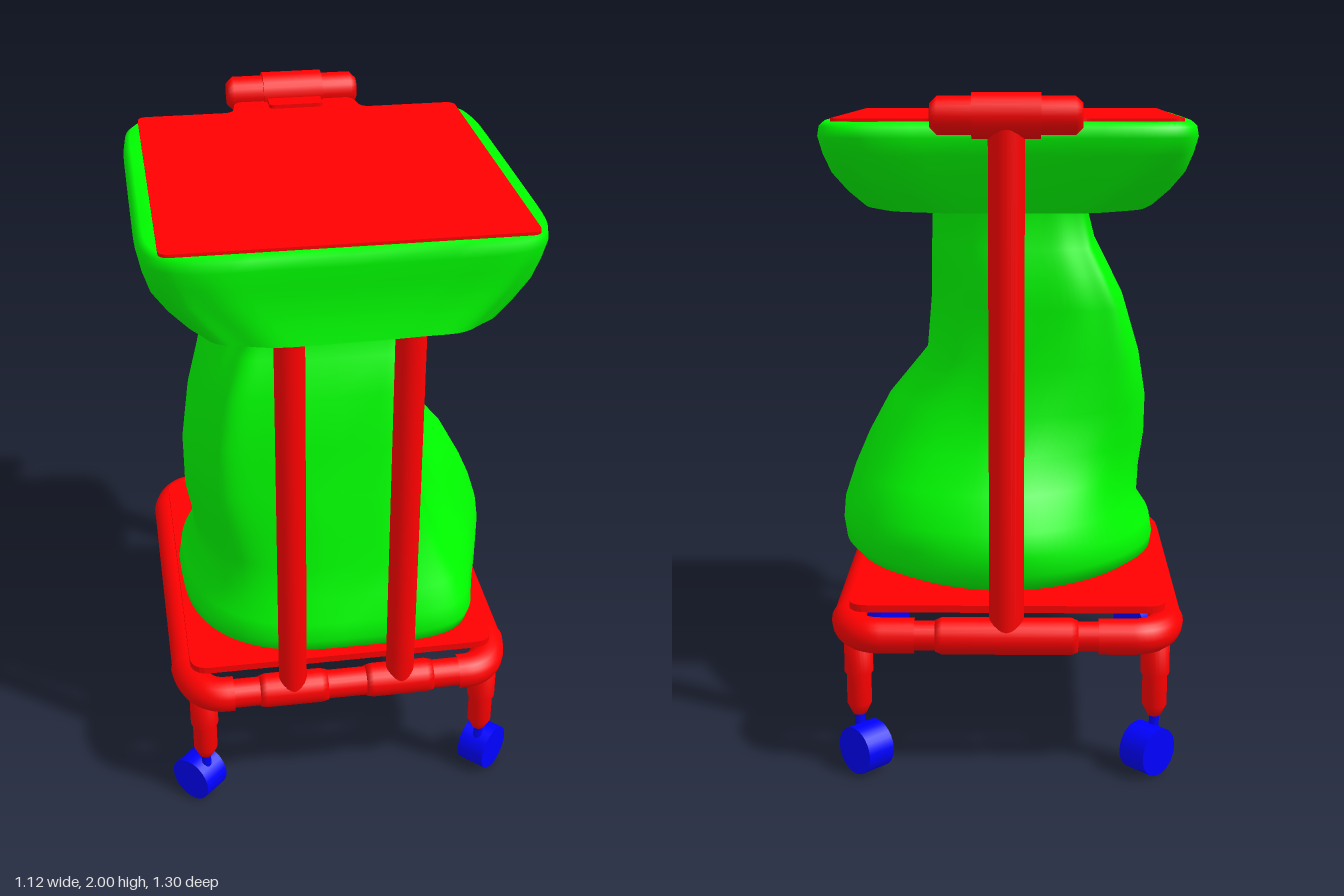
import * as THREE from 'three';

const mat = (color, side = THREE.FrontSide) => new THREE.MeshStandardMaterial({ color, side });
const V = (x, y, z) => new THREE.Vector3(x, y, z);
const { lerp, smoothstep } = THREE.MathUtils;

export function createModel() {
  const model = new THREE.Group();
  const red = mat(0xff0000), blue = mat(0x0000ff), green = mat(0x00ff00, THREE.DoubleSide);

  const add = (name, geo, material, parent = model) => {
    const mesh = new THREE.Mesh(geo, material);
    mesh.name = name;
    parent.add(mesh);
    return mesh;
  };

  // Straight round bar between two points
  const bar = (name, a, b, r) => {
    const mesh = add(name, new THREE.CylinderGeometry(r, r, a.distanceTo(b), 24), red);
    mesh.position.copy(a).add(b).multiplyScalar(0.5);
    mesh.quaternion.setFromUnitVectors(V(0, 1, 0), b.clone().sub(a).normalize());
  };

  // Sleeve along x with tapered ends
  const sleeve = (name, x, y, z, half, r, rEnd) => {
    const pts = [[0, -half], [rEnd, -half], [r, -half + 0.02], [r, half - 0.02], [rEnd, half], [0, half]];
    const mesh = add(name, new THREE.LatheGeometry(pts.map(p => new THREE.Vector2(...p)), 24), red);
    mesh.rotation.z = Math.PI / 2;
    mesh.position.set(x, y, z);
  };

  // Flat plate with rounded corners, from a list of x/z corners
  const plate = (name, corners, y, thick, r) => {
    const shape = new THREE.Shape();
    const pts = corners.map(([x, z]) => new THREE.Vector2(x, -z));
    pts.forEach((p, i) => {
      const a = pts.at(i - 1).clone().sub(p).setLength(r).add(p);
      const b = pts[(i + 1) % pts.length].clone().sub(p).setLength(r).add(p);
      if (i) shape.lineTo(a.x, a.y); else shape.moveTo(a.x, a.y);
      shape.quadraticCurveTo(p.x, p.y, b.x, b.y);
    });
    const geo = new THREE.ExtrudeGeometry(shape, { depth: thick, bevelEnabled: false, curveSegments: 6 });
    add(name, geo.rotateX(-Math.PI / 2), red).position.y = y;
  };

  // Smooth closed-ring surface through rows, bottom to top
  const loft = (rows, point, sides = 120) => {
    const pos = [], idx = [];
    rows.forEach((row, i) => {
      for (let j = 0; j < sides; j++) pos.push(...point(row, (j / sides) * Math.PI * 2));
      if (!i) return;
      for (let j = 0; j < sides; j++) {
        const k = (j + 1) % sides, a = (i - 1) * sides, b = i * sides;
        idx.push(a + j, b + j, a + k, a + k, b + j, b + k);
      }
    });
    const geo = new THREE.BufferGeometry();
    geo.setAttribute('position', new THREE.Float32BufferAttribute(pos, 3));
    geo.setIndex(idx);
    geo.computeVertexNormals();
    return geo;
  };
  const power = (v, n) => Math.sign(v) * Math.pow(Math.abs(v), 2 / n);

  // Base frame: side, front and back bars with corner elbows
  const fy = 0.43, fx = 0.48, fz = 0.583;
  for (const s of [1, -1]) {
    bar('sideRail', V(s * fx, fy, -0.46), V(s * fx, fy, 0.46), 0.049);
    bar(s > 0 ? 'frontRail' : 'backRail', V(-0.37, fy, s * fz), V(0.37, fy, s * fz), 0.044);
    for (const t of [1, -1]) {
      const start = t > 0 ? 0.35 : 0.27;
      const path = new THREE.CurvePath();
      path.add(new THREE.LineCurve3(V(s * start, fy, t * fz), V(s * 0.37, fy, t * fz)));
      path.add(new THREE.QuadraticBezierCurve3(V(s * 0.37, fy, t * fz), V(s * 0.465, fy, t * fz), V(s * fx, fy, t * 0.435)));
      add('cornerElbow', new THREE.TubeGeometry(path, 24, 0.053, 20), red);
    }
    // Front posts and their tee sleeves
    sleeve('postSleeve', s * 0.165, fy, fz, 0.105, 0.052, 0.047);
    bar('frontPost', V(s * 0.167, fy, 0.587), V(s * 0.167, 1.68, 0.587), 0.043);
  }
  sleeve('backSleeve', 0, fy, -fz, 0.21, 0.055, 0.047);
  bar('backPost', V(0, fy, -0.58), V(0, 1.93, -0.58), 0.051);

  // Base plate
  plate('basePlate', [[-0.475, 0.54], [0.475, 0.54], [0.475, -0.53], [-0.475, -0.53]], 0.482, 0.022, 0.06);

  // Handle and hinge
  sleeve('handle', 0, 1.937, -0.58, 0.21, 0.053, 0.034);
  bar('handleSleeve', V(-0.095, 1.937, -0.58), V(0.095, 1.937, -0.58), 0.063);
  plate('hinge', [[-0.085, -0.45], [0.085, -0.45], [0.085, -0.56], [-0.085, -0.56]], 1.912, 0.024, 0.015);

  // Lid with a narrow tab at the back
  plate('lid', [[-0.505, 0.622], [0.505, 0.622], [0.505, -0.432], [0.205, -0.432], [0.19, -0.53],
    [-0.19, -0.53], [-0.205, -0.432], [-0.505, -0.432]], 1.915, 0.009, 0.03);

  // Casters: tapered red leg, blue stem and a wheel turned to the diagonal
  const legProfile = [[0, 0.17], [0.02, 0.17], [0.037, 0.205], [0.037, 0.295], [0.043, 0.305], [0.043, 0.42], [0, 0.42]];
  for (const s of [1, -1]) for (const t of [1, -1]) {
    const caster = new THREE.Group();
    caster.name = 'caster';
    caster.position.set(s * 0.442, 0, t > 0 ? 0.553 : -0.545);
    model.add(caster);
    add('leg', new THREE.LatheGeometry(legProfile.map(p => new THREE.Vector2(...p)), 24), red, caster);
    add('stem', new THREE.CylinderGeometry(0.015, 0.015, 0.1, 12), blue, caster).position.y = 0.135;
    const wheel = add('wheel', new THREE.CylinderGeometry(0.072, 0.072, 0.092, 28), blue, caster);
    wheel.quaternion.setFromUnitVectors(V(0, 1, 0), V(s, 0, t).normalize());
    wheel.position.set(s * t * 0.021, 0.072, -0.026);
  }

  // Bag rows: y, left x, right x, right x at the front, back z, front z
  const rows = [
    [0.505, 0, 0, 0, 0, 0.02], [0.505, -0.43, 0.43, 0.39, -0.40, 0.50],
    [0.53, -0.465, 0.50, 0.44, -0.44, 0.535], [0.57, -0.47, 0.535, 0.45, -0.465, 0.547],
    [0.63, -0.46, 0.543, 0.44, -0.47, 0.54], [0.70, -0.415, 0.535, 0.41, -0.46, 0.51],
    [0.80, -0.42, 0.50, 0.35, -0.40, 0.487], [0.90, -0.435, 0.455, 0.30, -0.325, 0.47],
    [1.03, -0.435, 0.385, 0.265, -0.29, 0.447], [1.18, -0.41, 0.262, 0.245, -0.27, 0.42],
    [1.35, -0.36, 0.247, 0.24, -0.28, 0.402], [1.45, -0.31, 0.245, 0.24, -0.275, 0.36],
    [1.53, -0.27, 0.243, 0.24, -0.26, 0.34], [1.65, -0.24, 0.24, 0.24, -0.235, 0.335],
    [1.76, -0.30, 0.30, 0.30, -0.27, 0.42], [1.86, -0.44, 0.44, 0.44, -0.38, 0.55],
    [1.905, -0.52, 0.52, 0.52, -0.44, 0.61],
  ];
  // Each quadrant has its own squareness, changing from the floor to the neck
  const squareness = (c, s, y) => {
    const t = smoothstep(y, 0.8, 1.45);
    if (c > 0) return s > 0 ? lerp(5, 9, t) : lerp(2.05, 1.5, t);
    return s > 0 ? lerp(2.6, 5, t) : lerp(1.75, 6, t);
  };
  add('bag', loft(rows, ([y, xl, xr, xf, zb, zf], a) => {
    const n = squareness(Math.cos(a), Math.sin(a), y);
    const c = power(Math.cos(a), n), s = power(Math.sin(a), n);
    const right = lerp(xr, xf, smoothstep(s, -0.1, 0.7));
    const fade = smoothstep(y, 0.6, 1.0) * (1 - smoothstep(y, 1.65, 1.85));
    const fold = 1 + fade * 0.015 * Math.sin(a * 8 + 0.9 + y);
    return [(c > 0 ? right : -xl) * c * fold, y, (zb + zf) / 2 + s * (zf - zb) / 2 * fold];
  }), green);

  // Bag cuff folded over the rim, rounder at its hem
  // Rows: y, half width, back z, front z, ripple, squareness at the front and back
  const cuffRows = [
    [1.65, 0.45, -0.375, 0.648, 0.008, 4.5, 3.2], [1.70, 0.497, -0.405, 0.64, 0.008, 5, 3.8],
    [1.76, 0.535, -0.435, 0.635, 0.006, 6, 5], [1.82, 0.552, -0.46, 0.638, 0.003, 7, 6.5],
    [1.87, 0.56, -0.477, 0.642, 0, 8, 8], [1.90, 0.554, -0.472, 0.64, 0, 8.5, 8.5],
    [1.914, 0.538, -0.455, 0.627, 0, 9, 9], [1.912, 0.49, -0.41, 0.58, 0, 9, 9],
  ];
  add('bagCuff', loft(cuffRows, ([y, w, zb, zf, ripple, nf, nb], a) => {
    const wave = 1 + ripple * Math.sin(a * 12);
    const n = Math.sin(a) > 0 ? nf : nb;
    return [w * power(Math.cos(a), n) * wave, y, (zb + zf) / 2 + power(Math.sin(a), n) * (zf - zb) / 2 * wave];
  }), green);

  return model;
}
